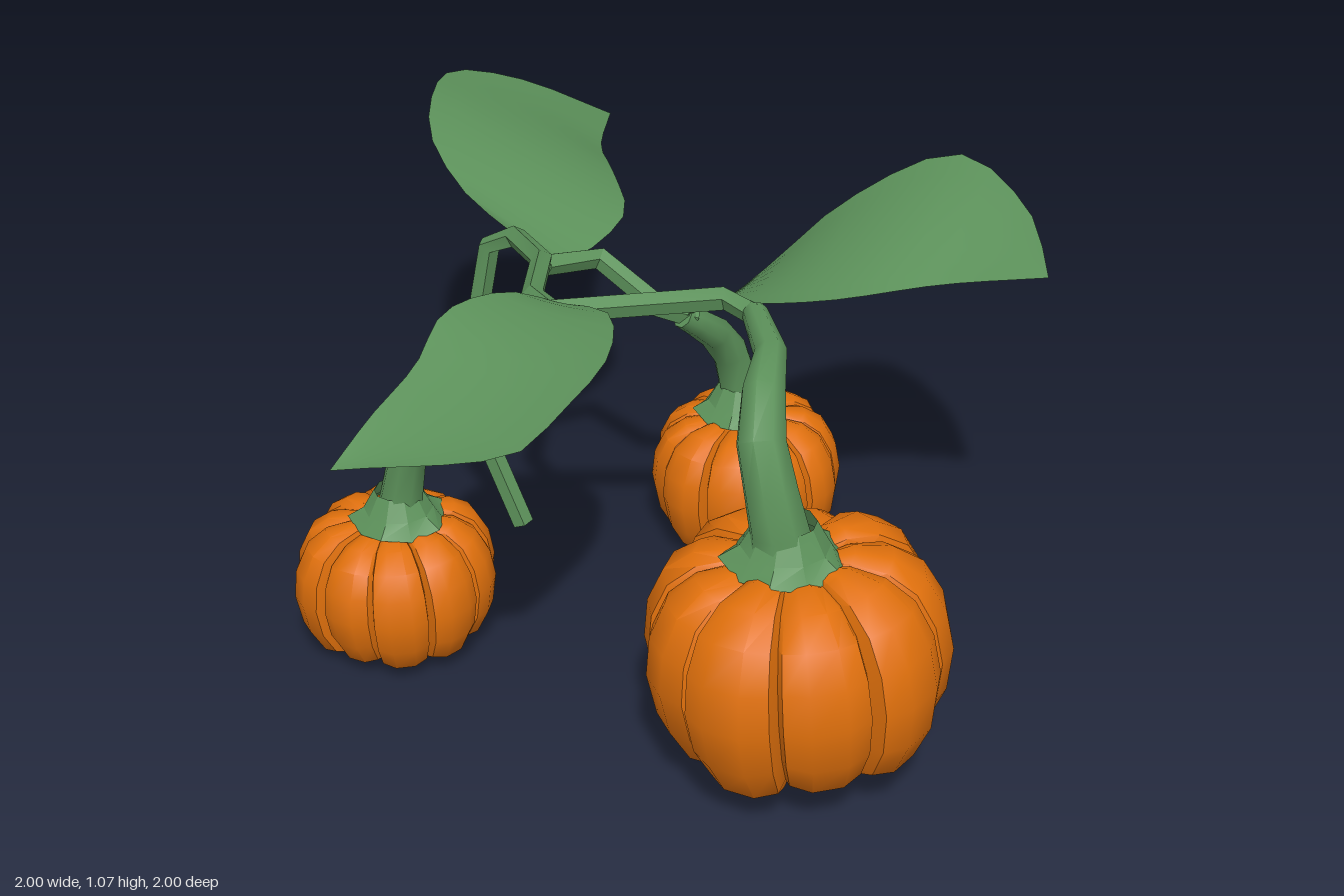
import * as THREE from 'three';
import { toCreasedNormals } from 'three/addons/utils/BufferGeometryUtils.js';

const V = (p) => new THREE.Vector3(p[0], p[1], p[2]);
const orange = new THREE.MeshStandardMaterial({ color: 0xe0700c });
const green = new THREE.MeshStandardMaterial({ color: 0x5c915a });
const leafGreen = new THREE.MeshStandardMaterial({ color: 0x5c915a, side: THREE.DoubleSide });

// Surface through equal-length rows of points
function skin(rows, crease) {
  const n = rows[0].length, index = [];
  for (let i = 0; i < rows.length - 1; i++) {
    for (let j = 0; j < n - 1; j++) {
      const a = i * n + j;
      index.push(a, a + 1, a + n + 1, a, a + n + 1, a + n);
    }
  }
  const geo = new THREE.BufferGeometry().setFromPoints(rows.flat());
  geo.setIndex(index);
  return toCreasedNormals(geo, crease);
}

function mesh(name, geo, material) {
  const m = new THREE.Mesh(geo, material);
  m.name = name;
  return m;
}

// Tapered tube; each path entry is [x, y, z, radius]
function sweep(path, sides, crease) {
  const pts = path.map(V);
  const normal = new THREE.Vector3(0.31, 0.2, 0.93);
  const rows = pts.map((p, i) => {
    const t = pts[Math.min(i + 1, pts.length - 1)].clone().sub(pts[Math.max(i - 1, 0)]).normalize();
    normal.addScaledVector(t, -normal.dot(t)).normalize();
    const side = t.clone().cross(normal);
    return Array.from({ length: sides + 1 }, (_, j) => {
      const a = (j % sides) / sides * Math.PI * 2;
      return p.clone().addScaledVector(normal, Math.cos(a) * path[i][3]).addScaledVector(side, Math.sin(a) * path[i][3]);
    });
  });
  // closed ends
  rows.unshift(rows[0].map(() => pts[0].clone()));
  rows.push(rows[0].map(() => pts[pts.length - 1].clone()));
  return skin(rows, crease);
}

const vine = (name, pts, r = 0.028) => mesh(name, sweep(pts.map((p) => [...p, r]), 5, 0.3), green);

// Ribbed fruit: bulging lobes parted by narrow grooves
const PROFILE = [[0, 0.09], [0.3, 0.05], [0.6, 0], [0.82, 0.08], [0.95, 0.26], [1, 0.48], [0.96, 0.68], [0.84, 0.85], [0.64, 0.95], [0.4, 0.98], [0, 0.92]];
const RIB = [0.85, 0.95, 1, 1, 0.95]; // radius factor across one lobe
const RIB_AT = [0, 0.06, 0.32, 0.68, 0.94];
function pumpkin(name, x, y, z, radius, height, lobes, turn, tilt) {
  const rows = PROFILE.map(([r, h]) => {
    const row = [];
    for (let k = 0; k <= lobes * 5; k++) {
      const lobe = Math.floor(k / 5), s = k % 5;
      const a = (lobe + RIB_AT[s]) / lobes * Math.PI * 2 + turn;
      const vary = s === 0 ? 1 : 1 + 0.03 * Math.sin((lobe % lobes) * 2.4);
      const rr = r * radius * RIB[s] * vary;
      const hh = 0.5 + (h - 0.5) * (s === 0 ? 0.92 : RIB[s] * vary);
      row.push(new THREE.Vector3(Math.cos(a) * rr, hh * height, -Math.sin(a) * rr));
    }
    return row;
  });
  const m = mesh(name, skin(rows, 0.7), orange);
  m.position.set(x, y, z);
  m.rotation.set(tilt, 0, tilt);
  return m;
}

// Jagged collar where a stem meets its fruit
function collar(name, x, y, z, r) {
  const rows = [[1, 0], [0.68, 0.2], [0.46, 0.6]].map(([k, h], i) =>
    Array.from({ length: 11 }, (_, j) => {
      const a = j / 10 * Math.PI * 2, notch = i === 0 && j % 2;
      const rr = r * k * (notch ? 0.88 : 1);
      return new THREE.Vector3(x + Math.cos(a) * rr, y + (h - (notch ? 0.12 : 0)) * r, z - Math.sin(a) * rr);
    }));
  return mesh(name, skin(rows, 0.5), leafGreen);
}

// Leaf lofted between two edge curves that share base and tip, sagging along the midrib
function leaf(name, base, tip, left, right, sag) {
  const edge = (pts) => new THREE.CatmullRomCurve3([base, ...pts, tip].map(V)).getSpacedPoints(14);
  const L = edge(left), R = edge(right);
  const rows = L.map((p, i) => Array.from({ length: 9 }, (_, j) => {
    const t = j / 8, q = p.clone().lerp(R[i], t);
    q.y -= sag * 4 * t * (1 - t) * Math.sin(i / 14 * Math.PI);
    return q;
  }));
  return mesh(name, skin(rows, 1.0), leafGreen);
}

export function createModel() {
  const model = new THREE.Group();
  model.name = 'pumpkinVine';

  // Fruit
  model.add(
    pumpkin('largePumpkin', 0.665, 0.08, 0.332, 0.35, 0.5, 9, 0.25, 0.05),
    pumpkin('frontPumpkin', -0.405, 0.015, 0.443, 0.243, 0.34, 10, 0.1, 0.03),
    pumpkin('backPumpkin', 0.031, 0.015, -0.444, 0.243, 0.34, 10, 0.4, 0.03),
    collar('largeCollar', 0.63, 0.563, 0.365, 0.148),
    collar('frontCollar', -0.39, 0.353, 0.45, 0.122),
    collar('backCollar', 0.005, 0.353, -0.445, 0.122),
  );

  // Thick curved stems
  const stems = {
    largeStem: [[0.63, 0.55, 0.375, 0.085], [0.625, 0.64, 0.385, 0.068], [0.605, 0.73, 0.39, 0.062], [0.565, 0.83, 0.37, 0.057],
      [0.525, 0.91, 0.3, 0.05], [0.48, 0.945, 0.2, 0.038], [0.36, 0.955, 0.075, 0.03]],
    frontStem: [[-0.39, 0.34, 0.45, 0.06], [-0.375, 0.43, 0.45, 0.052], [-0.35, 0.55, 0.45, 0.046], [-0.29, 0.66, 0.445, 0.042],
      [-0.23, 0.74, 0.435, 0.038], [-0.17, 0.77, 0.42, 0.032]],
    backStem: [[0, 0.34, -0.445, 0.06], [0, 0.43, -0.44, 0.052], [-0.005, 0.53, -0.405, 0.046], [-0.01, 0.61, -0.34, 0.042],
      [-0.005, 0.68, -0.25, 0.036], [-0.02, 0.71, -0.21, 0.03]],
  };
  for (const [name, path] of Object.entries(stems)) model.add(mesh(name, sweep(path, 8, 0.9), green));

  // Thin vines
  model.add(
    vine('mainVine', [[-0.08, 0.9, 0.24], [-0.18, 0.885, 0.18], [-0.3, 0.86, -0.02], [-0.46, 0.835, -0.13], [-0.54, 0.79, -0.125],
      [-0.57, 0.6, -0.11], [-0.59, 0.34, -0.095], [-0.455, 0.01, -0.125]]),
    vine('largeBranch', [[0.37, 0.955, 0.08], [0.27, 0.96, 0.06], [-0.09, 0.9, 0.245]]),
    vine('frontBranch', [[-0.2, 0.77, 0.43], [-0.155, 0.765, 0.4], [-0.11, 0.755, 0.22]]),
    vine('backBranch', [[-0.31, 0.835, -0.05], [-0.25, 0.81, -0.19], [-0.07, 0.735, -0.18], [0, 0.7, -0.24]]),
  );

  // Leaves
  model.add(
    leaf('frontLeaf', [-0.05, 0.93, 0.24], [-0.11, 0.845, 1.0],
      [[-0.13, 0.98, 0.34], [-0.17, 0.995, 0.52], [-0.13, 0.945, 0.68], [-0.12, 0.9, 0.85]],
      [[0.1, 0.97, 0.28], [0.24, 0.985, 0.48], [0.265, 0.955, 0.7], [0.25, 0.92, 0.82]], 0.02),
    leaf('rightLeaf', [-0.02, 0.7, -0.21], [0.83, 0.96, -0.44],
      [[0, 0.69, -0.33], [0.05, 0.75, -0.5], [0.19, 0.915, -0.62], [0.44, 1.07, -0.71], [0.7, 1.03, -0.59]],
      [[0.08, 0.8, -0.175], [0.24, 0.85, -0.14], [0.4, 0.88, -0.2], [0.6, 0.91, -0.36]], 0.015),
    leaf('leftLeaf', [-0.46, 0.84, -0.13], [-0.78, 0.77, -1.0],
      [[-0.63, 0.89, -0.16], [-0.8, 0.97, -0.24], [-0.92, 1.01, -0.4], [-1.0, 0.985, -0.6], [-0.93, 0.9, -0.81]],
      [[-0.36, 0.78, -0.16], [-0.345, 0.8, -0.43], [-0.5, 0.815, -0.61], [-0.65, 0.79, -0.77]], 0),
  );
  return model;
}
